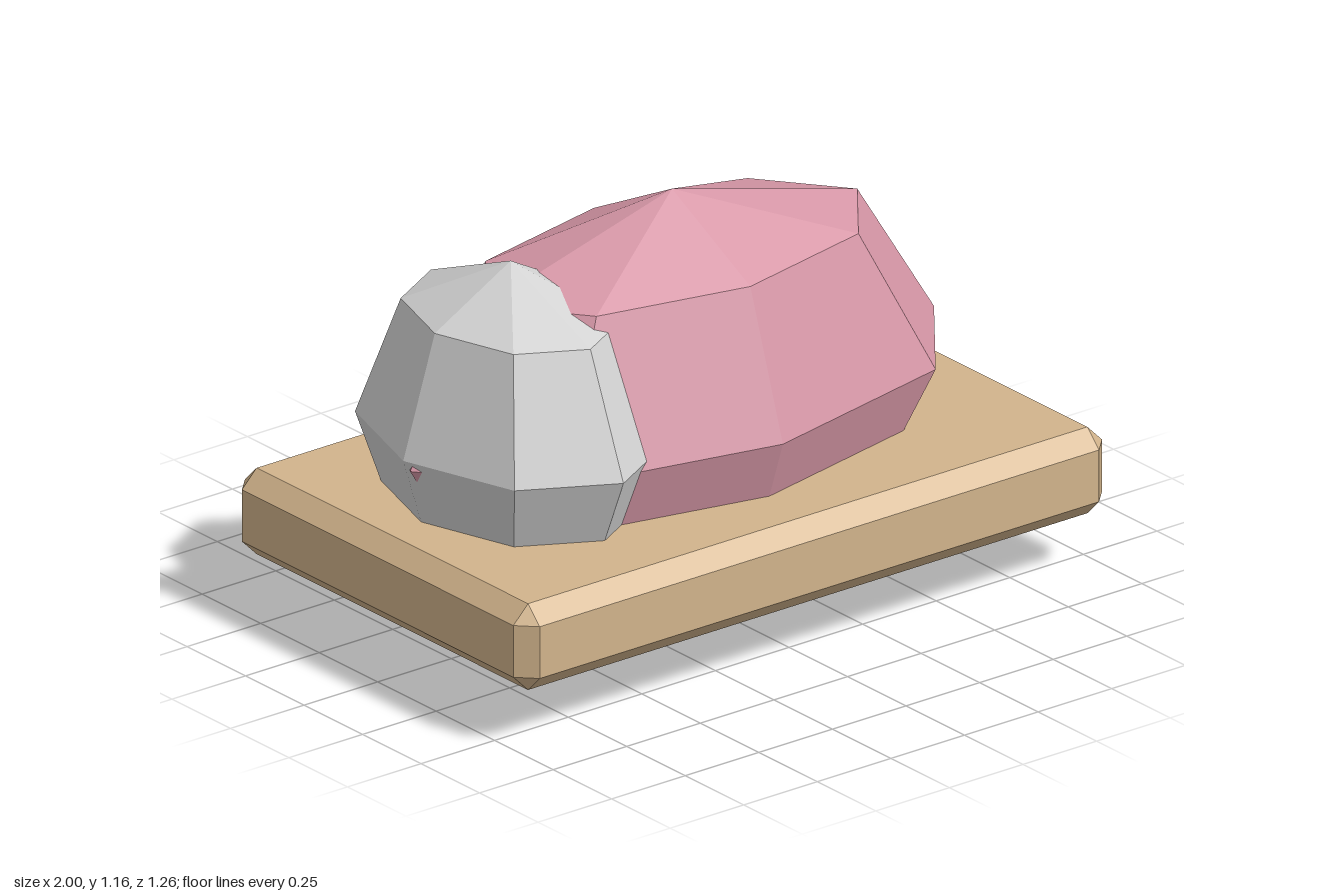
import * as THREE from 'three';
import { ConvexGeometry } from 'three/addons/geometries/ConvexGeometry.js';

const flat = (name, color) => {
  const material = new THREE.MeshStandardMaterial({ color, flatShading: true });
  material.name = name;
  return material;
};

// Box with every edge chamfered and a triangle at each corner
function chamferedBox(w, h, d, c) {
  const points = [];
  for (const x of [-w / 2, w / 2])
    for (const y of [-h / 2, h / 2])
      for (const z of [-d / 2, d / 2]) {
        const corner = new THREE.Vector3(x, y, z);
        const inset = new THREE.Vector3(Math.sign(x), Math.sign(y), Math.sign(z)).multiplyScalar(c);
        for (const axis of ['x', 'y', 'z']) {
          const p = corner.clone().sub(inset);
          p[axis] = corner[axis];
          points.push(p);
        }
      }
  return new ConvexGeometry(points);
}

// Eight-sided faceted ellipsoid
const ellipsoid = (rx, ry, rz) => new THREE.SphereGeometry(1, 8, 4).scale(rx, ry, rz);

export function createModel() {
  const group = new THREE.Group();
  const add = (name, geometry, material, x, y, z) => {
    const mesh = new THREE.Mesh(geometry, material);
    mesh.name = name;
    mesh.position.set(x, y, z);
    group.add(mesh);
  };

  // Wooden board
  add('board', chamferedBox(2, 0.25, 1.26, 0.05), flat('tan wood', 0xd2b48c), 0, 0.285, 0);
  // Large body sunk through the board
  add('body', ellipsoid(0.89, 0.58, 0.474), flat('pink', 0xd898a8), 0, 0.58, 0);
  // Grey lump overlapping one end of the body
  add('endLump', ellipsoid(0.365, 0.482, 0.482), flat('light grey', 0xd3d3d3), -0.528, 0.603, -0.025);

  return group;
}
